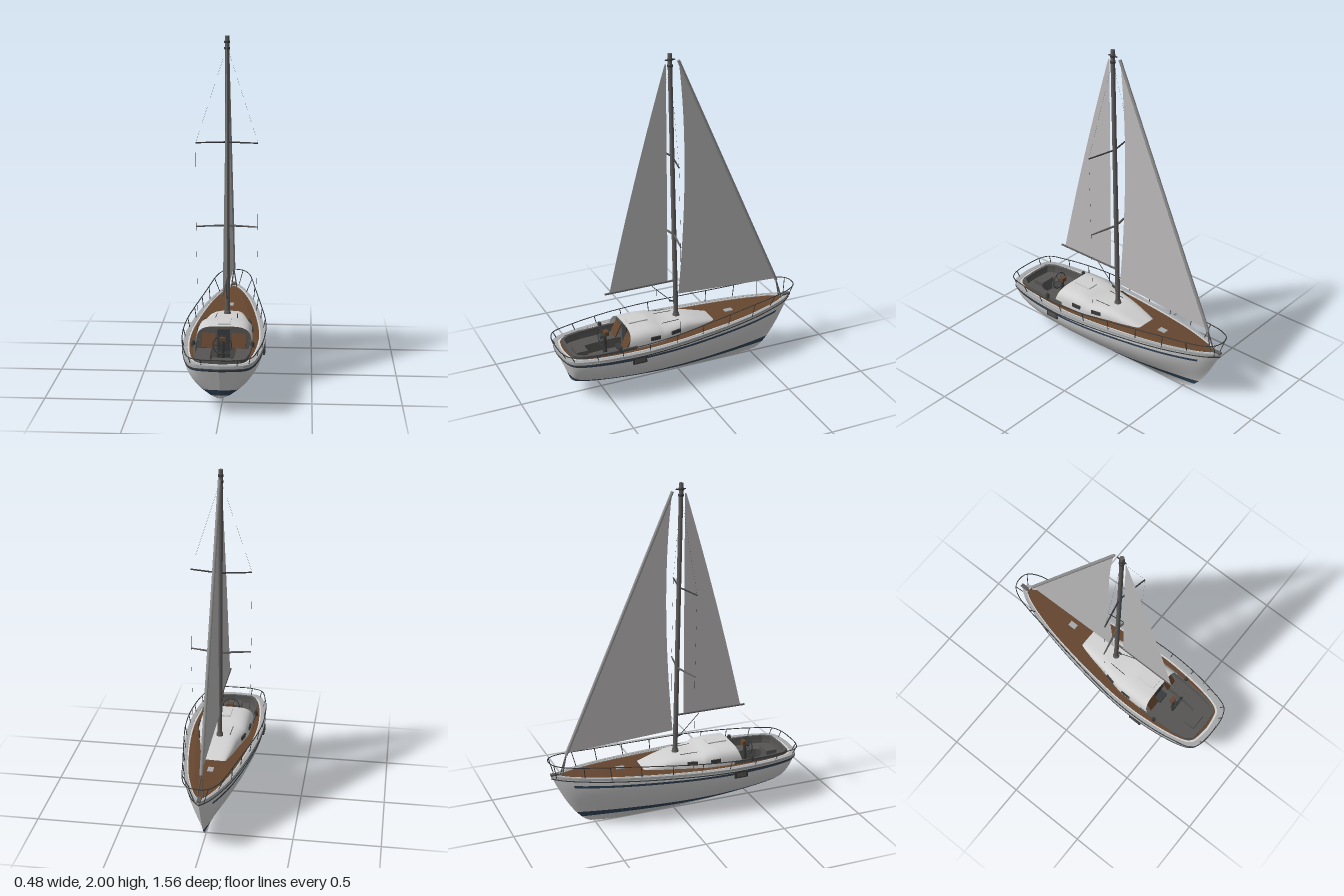
import * as THREE from 'three';

const mat = (name, color) => new THREE.MeshStandardMaterial({ name, color, side: THREE.DoubleSide });
const white = mat('hull white', 0xd1d1d1), blue = mat('stripe blue', 0x34485d), teak = mat('teak', 0x65462f);
const sailGrey = mat('sail cloth', 0xbcbaba), trim = mat('rail grey', 0xa6a8aa), mastGrey = mat('mast grey', 0x5f5d5c);
const dark = mat('dark fittings', 0x3a3b3c), well = mat('cockpit grey', 0x565554), tube = mat('furler grey', 0x929292);

const lerp = THREE.MathUtils.lerp;
const V = (x, y, z) => new THREE.Vector3(x, y, z);

// Sheer height and deck plan (x of a point = z along the boat, y = half width)
const sheer = z => 0.303 - 0.033 * z + 0.02 * z * z;
const plan = new THREE.SplineCurve([[0.765, 0], [0.757, 0.08], [0.74, 0.14], [0.69, 0.176], [0.58, 0.204], [0.44, 0.222],
  [0.28, 0.23], [0.1, 0.221], [-0.1, 0.197], [-0.28, 0.168], [-0.45, 0.132], [-0.6, 0.086], [-0.7, 0.044], [-0.76, 0]]
  .map(p => new THREE.Vector2(...p))).getPoints(65);

// Surface through rows of points; pick(i, j) gives the material index of each cell
function loft(rows, pick = () => 0, flat = false) {
  const n = rows[0].length, buckets = [[], []];
  for (let i = 0; i < rows.length - 1; i++) for (let j = 0; j < n - 1; j++) {
    const a = i * n + j, b = a + n;
    buckets[pick(i, j)].push(a, a + 1, b, b, a + 1, b + 1);
  }
  let geo = new THREE.BufferGeometry().setFromPoints(rows.flat());
  geo.setIndex(buckets.flat());
  geo.addGroup(0, buckets[0].length, 0);
  geo.addGroup(buckets[0].length, buckets[1].length, 1);
  if (flat) geo = geo.toNonIndexed();
  geo.computeVertexNormals();
  return geo;
}

// Closed plan outline, scaled, as shape points (shape y = -z)
const outline = (sx, sz) => [...plan.map(p => new THREE.Vector2(p.y * sx, -p.x * sz)),
  ...plan.slice(1, -1).reverse().map(p => new THREE.Vector2(-p.y * sx, -p.x * sz))];

// Rounded-stern cockpit outline
const cockpitLine = (w, z0, z1) => [[-1, 0], [-1, 0.3], [-0.95, 0.65], [-0.85, 0.87], [-0.66, 0.98], [0, 1],
  [0.66, 0.98], [0.85, 0.87], [0.95, 0.65], [1, 0.3], [1, 0], [-1, 0]].map(([x, z]) => new THREE.Vector2(x * w, -lerp(z0, z1, z)));

// Flat slab that follows the sheer
function deckSlab(outer, hole, depth, lift) {
  const shape = new THREE.Shape(outer);
  shape.holes.push(new THREE.Path(hole));
  const geo = new THREE.ExtrudeGeometry(shape, { depth, bevelEnabled: false });
  geo.rotateX(-Math.PI / 2);
  const p = geo.attributes.position;
  for (let i = 0; i < p.count; i++) p.setY(i, p.getY(i) + sheer(p.getZ(i)) + lift);
  geo.computeVertexNormals();
  return geo;
}

function hullGeometry() {
  const counts = [6, 1, 7, 1, 2];
  const bandOf = counts.flatMap((c, k) => Array(c).fill(k));
  const rows = plan.map(({ x: zt, y: w }) => {
    const u = (0.765 - zt) / 1.525;
    const zAt = t => lerp(0.69 + 0.075 * t, -0.52 - 0.24 * t ** 0.6, u);
    const zk = zAt(0), top = sheer(zt), bow = Math.max(0, -zt / 0.76), stern = Math.max(0, zt / 0.765);
    const keel = zk > -0.31 ? 0.09 * (zk + 0.31) ** 2.6 : 0.015 * ((-0.31 - zk) / 0.21) ** 2;
    const lo = 0.05 + 0.05 * Math.max(0, zt / 0.7) ** 2;
    const marks = [keel, lo, lo + 0.035, 0.262 + 0.012 * bow, 0.276 + 0.014 * bow, top];
    const half = [];
    counts.forEach((c, k) => { for (let i = 0; i < c; i++) half.push(lerp(marks[k], marks[k + 1], (i / c) ** (k ? 1 : 1.6))); });
    half.push(top);
    const fullness = 0.85 + 0.4 * bow * bow - 0.3 * stern * stern;
    const side = half.map(y => {
      const t = (y - keel) / (top - keel);
      return V(w * Math.sin(1.65 * t) ** fullness, y, zAt(t));
    });
    return [...side.slice(1).reverse().map(p => V(-p.x, p.y, p.z)), ...side];
  });
  const m = bandOf.length;
  return loft(rows, (i, j) => {
    const band = bandOf[j < m ? m - 1 - j : j - m];
    return band === 1 || (band === 3 && plan[i].x > -0.66) ? 1 : 0;
  });
}

export function createModel() {
  const boat = new THREE.Group();
  boat.name = 'sailboat';
  const add = (name, geo, material, x = 0, y = 0, z = 0) => {
    const m = new THREE.Mesh(geo, material);
    m.name = name;
    m.position.set(x, y, z);
    boat.add(m);
    return m;
  };
  const rod = (name, a, b, r, material, r2 = r, sides = 8) => {
    const d = b.clone().sub(a);
    const m = add(name, new THREE.CylinderGeometry(r2, r, d.length(), sides), material);
    m.position.copy(a).addScaledVector(d, 0.5);
    m.quaternion.setFromUnitVectors(V(0, 1, 0), d.normalize());
    return m;
  };
  const box = (name, w, h, d, material, x, y, z) => add(name, new THREE.BoxGeometry(w, h, d), material, x, y, z);

  // Hull, rub rail, gunwale and deck
  add('hull', hullGeometry(), [white, blue]);
  add('rubRail', deckSlab(outline(1.016, 1.004), outline(0.98, 0.99), 0.005, -0.015), dark);
  add('gunwale', deckSlab(outline(1.01, 1.005), outline(0.89, 0.968), 0.014, -0.004), trim);
  add('innerGunwale', deckSlab(outline(0.9, 0.969), outline(0.85, 0.952), 0.012, -0.004), white);
  add('deck', deckSlab(outline(0.86, 0.956), cockpitLine(0.155, 0.33, 0.705), 0.004, -0.001), teak);

  // Cockpit well with seats and sunken floor
  const ring = (w, z0, z1, y) => cockpitLine(w, z0, z1).map(p => V(p.x, y ?? sheer(-p.y) + 0.004, -p.y));
  add('cockpitWell', loft([ring(0.155, 0.33, 0.705), ring(0.153, 0.33, 0.7, 0.262), ring(0.07, 0.34, 0.61, 0.262),
    ring(0.07, 0.34, 0.61, 0.2), ring(0, 0.45, 0.45, 0.2)], () => 0, true), well);
  add('coaming', deckSlab(cockpitLine(0.164, 0.33, 0.713), cockpitLine(0.15, 0.335, 0.698), 0.022, 0), well);
  box('helmSeat', 0.1, 0.03, 0.07, well, 0, 0.275, 0.63);

  // Cabin: low trunk rising into an arched doghouse
  const section = (z, w, top, rake = 0) => Array.from({ length: 25 }, (_, i) => {
    const a = Math.PI * i / 24, c = Math.cos(a), s = Math.max(0, Math.sin(a)) ** 0.6, base = sheer(z) - 0.004;
    return V(Math.sign(c) * w * Math.abs(c) ** 0.5, base + (top - base) * s, z - rake * s);
  });
  add('cabin', loft([section(-0.215, 0.066, 0.313), section(-0.21, 0.07, 0.322), section(-0.1, 0.098, 0.352), section(-0.02, 0.113, 0.37),
    section(0.06, 0.132, 0.372), section(0.14, 0.15, 0.373), section(0.165, 0.155, 0.39), section(0.25, 0.158, 0.398),
    section(0.39, 0.158, 0.395, 0.035)]), white);
  const wall = new THREE.Shape(section(0.35, 0.154, 0.39).map(p => new THREE.Vector2(p.x, p.y)));
  add('cabinBulkhead', new THREE.ShapeGeometry(wall), well, 0, 0, 0.342);
  box('bulkheadBase', 0.3, 0.05, 0.006, well, 0, 0.285, 0.341);
  box('companionway', 0.07, 0.15, 0.008, dark, 0, 0.3, 0.344);
  box('companionStep', 0.07, 0.02, 0.05, dark, 0, 0.235, 0.37);
  box('foreHatch', 0.034, 0.012, 0.05, trim, 0, sheer(-0.34) + 0.006, -0.34);
  box('slidingHatch', 0.07, 0.008, 0.12, white, 0, 0.4, 0.27);
  for (const s of [-1, 1]) {
    box('bulkheadPanel', 0.075, 0.085, 0.008, teak, s * 0.085, 0.315, 0.366).rotation.x = -0.45;
    for (const [x, z, turn] of [[0.157, 0.21, 0.03], [0.135, 0.07, 0.22]])
      box('cabinWindow', 0.008, 0.022, 0.062, dark, s * x, 0.337, z).rotation.y = s * turn;
    box('hullWindow', 0.012, 0.04, 0.085, dark, s * 0.228, 0.26, 0.342);
    box('hullWindowPane', 0.009, 0.024, 0.06, well, s * 0.2305, 0.26, 0.342);
    add('winch', new THREE.CylinderGeometry(0.01, 0.013, 0.03, 12), dark, s * 0.165, 0.32, 0.44);
    rod('cabinHandrail', V(s * 0.06, 0.371, 0.02), V(s * 0.065, 0.372, 0.13), 0.002, dark);
  }

  // Steering pedestal and wheel
  rod('pedestal', V(0, 0.2, 0.47), V(0, 0.345, 0.47), 0.014, dark, 0.01);
  box('instrumentBox', 0.04, 0.025, 0.025, teak, 0, 0.352, 0.462);
  add('wheel', new THREE.TorusGeometry(0.052, 0.003, 6, 24), dark, 0, 0.33, 0.495);
  for (let i = 0; i < 3; i++) {
    const a = i * Math.PI / 3, c = Math.cos(a) * 0.052, s = Math.sin(a) * 0.052;
    rod('wheelSpoke', V(-c, 0.33 - s, 0.495), V(c, 0.33 + s, 0.495), 0.0015, dark);
  }
  rod('wheelHub', V(0, 0.33, 0.47), V(0, 0.33, 0.5), 0.008, dark);

  // Mast, spreaders and shrouds
  const mastZ = y => lerp(0.01, 0.047, (y - 0.36) / 1.64);
  const onMast = y => V(0, y, mastZ(y));
  rod('mast', onMast(0.34), onMast(2), 0.0145, mastGrey, 0.0125, 16);
  rod('mastCollar', onMast(0.365), onMast(0.388), 0.022, mastGrey, 0.018, 16);
  for (const y of [1.93, 1.965]) rod('mastBand', onMast(y - 0.006), onMast(y + 0.006), 0.016, dark, 0.016, 16);
  rod('mastheadFitting', V(0, 1.965, 0.015), V(0, 1.965, 0.075), 0.004, dark);
  for (const s of [-1, 1]) {
    const tips = [0.905, 1.395].map(y => V(s * 0.178, y, mastZ(y) + 0.038));
    tips.forEach((tip, i) => rod('spreader', onMast(tip.y), tip, 0.007 - i * 0.002, i ? dark : mastGrey, 0.004));
    const path = [V(s * 0.17, sheer(0.06), 0.06), ...tips, onMast(1.94)];
    for (let i = 0; i < 3; i++) rod('shroud', path[i], path[i + 1], 0.0003, dark, 0.0003, 4);
  }

  // Boom and vang
  rod('boom', V(0, 0.605, mastZ(0.6)), V(0, 0.605, 0.462), 0.006, mastGrey);
  rod('vang', V(0, 0.595, 0.165), V(0, 0.475, 0.045), 0.002, dark);
  rod('vangBracket', V(0, 0.475, 0.052), onMast(0.465), 0.006, dark);

  // Sails drawn in the centre plane as (z, y)
  const sail = (name, draw) => {
    const shape = new THREE.Shape();
    draw(shape);
    add(name, new THREE.ShapeGeometry(shape, 20).rotateY(-Math.PI / 2), sailGrey);
  };
  sail('mainsail', s => {
    s.moveTo(0.064, 0.608);
    s.lineTo(0.434, 0.608);
    s.quadraticCurveTo(0.285, 1.255, 0.078, 1.94);
    s.lineTo(0.07, 1.94);
  });
  sail('jib', s => {
    s.moveTo(-0.665, 0.475);
    s.lineTo(-0.006, 0.51);
    s.quadraticCurveTo(-0.082, 1.35, -0.008, 1.95);
  });
  rod('jibFurler', V(0, 0.465, -0.668), V(0, 1.955, -0.006), 0.01, tube, 0.009, 10);
  for (const x of [-0.018, 0.018]) rod('forestayLeg', V(0, 0.465, -0.668), V(x, sheer(-0.7), -0.702), 0.004, mastGrey);
  box('bowRoller', 0.022, 0.012, 0.05, mastGrey, 0, 0.352, -0.74);

  // Guard rail all round, with stanchions
  const railY = z => sheer(z) + 0.07 - 0.033 * z;
  const half = [[0.1, 0.768], [0.165, 0.735], [0.205, 0.6], [0.227, 0.45], [0.235, 0.28], [0.226, 0.1], [0.202, -0.08],
    [0.172, -0.27], [0.143, -0.45], [0.119, -0.6], [0.094, -0.7], [0.055, -0.76]];
  const loop = [[0, 0.775], ...half, [0, -0.776], ...half.map(([x, z]) => [-x, z]).reverse()];
  const rail = new THREE.CatmullRomCurve3(loop.map(([x, z]) => V(x, railY(z), z)), true);
  add('guardRail', new THREE.TubeGeometry(rail, 160, 0.003, 6, true), dark);
  half.forEach(([x, z], i) => {
    if (i === 10) return;
    const foot = i < 9 ? 0.95 : i === 9 ? 0.68 : 0.5;
    for (const s of [-1, 1]) rod('stanchion', V(s * x * foot, sheer(z * 0.97), z * 0.97), V(s * x, railY(z), z), 0.0025, dark, 0.0025, 6);
  });
  return boat;
}
